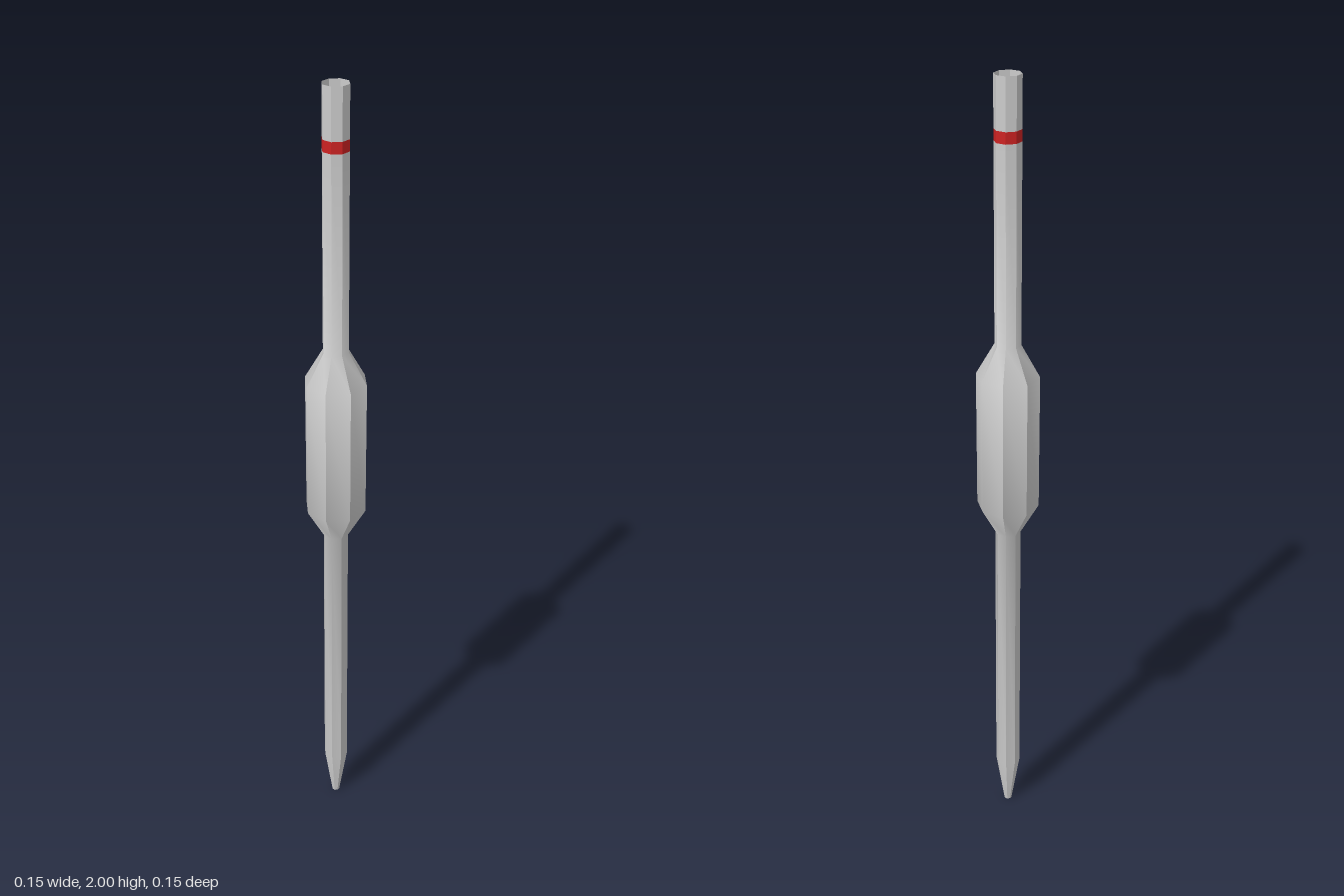
import * as THREE from 'three';
import { toCreasedNormals } from 'three/addons/utils/BufferGeometryUtils.js';

const SIDES = 8;
const TUBE = 0.032;   // radius of the stem
const BULB = 0.077;   // radius of the widened middle
const TIP = 0.01;     // radius of the open tip

const glass = new THREE.MeshStandardMaterial({ color: 0xcccccc, side: THREE.DoubleSide });
const red = new THREE.MeshStandardMaterial({ color: 0xcc2222, side: THREE.DoubleSide });

// Open eight-sided shell: sharp long edges, soft bends along its length
function shell(name, profile, material) {
  const points = profile.map(([r, y]) => new THREE.Vector2(r, y));
  const geometry = toCreasedNormals(new THREE.LatheGeometry(points, SIDES), 0.65);
  const mesh = new THREE.Mesh(geometry, material);
  mesh.name = name;
  return mesh;
}

export function createModel() {
  const group = new THREE.Group();
  group.name = 'pipette';

  // Tapered tip, lower stem, bulb and upper stem in one hollow wall
  group.add(shell('body', [
    [TIP, 0], [TUBE, 0.14],
    [TUBE, 0.865], [BULB, 0.945],
    [BULB, 1.293], [TUBE, 1.373],
    [TUBE, 1.854],
  ], glass));

  // Red fill mark
  group.add(shell('fillMark', [[TUBE, 1.854], [TUBE, 1.881]], red));

  // Open mouth above the mark
  group.add(shell('mouth', [[TUBE, 1.881], [TUBE, 2]], glass));

  return group;
}
